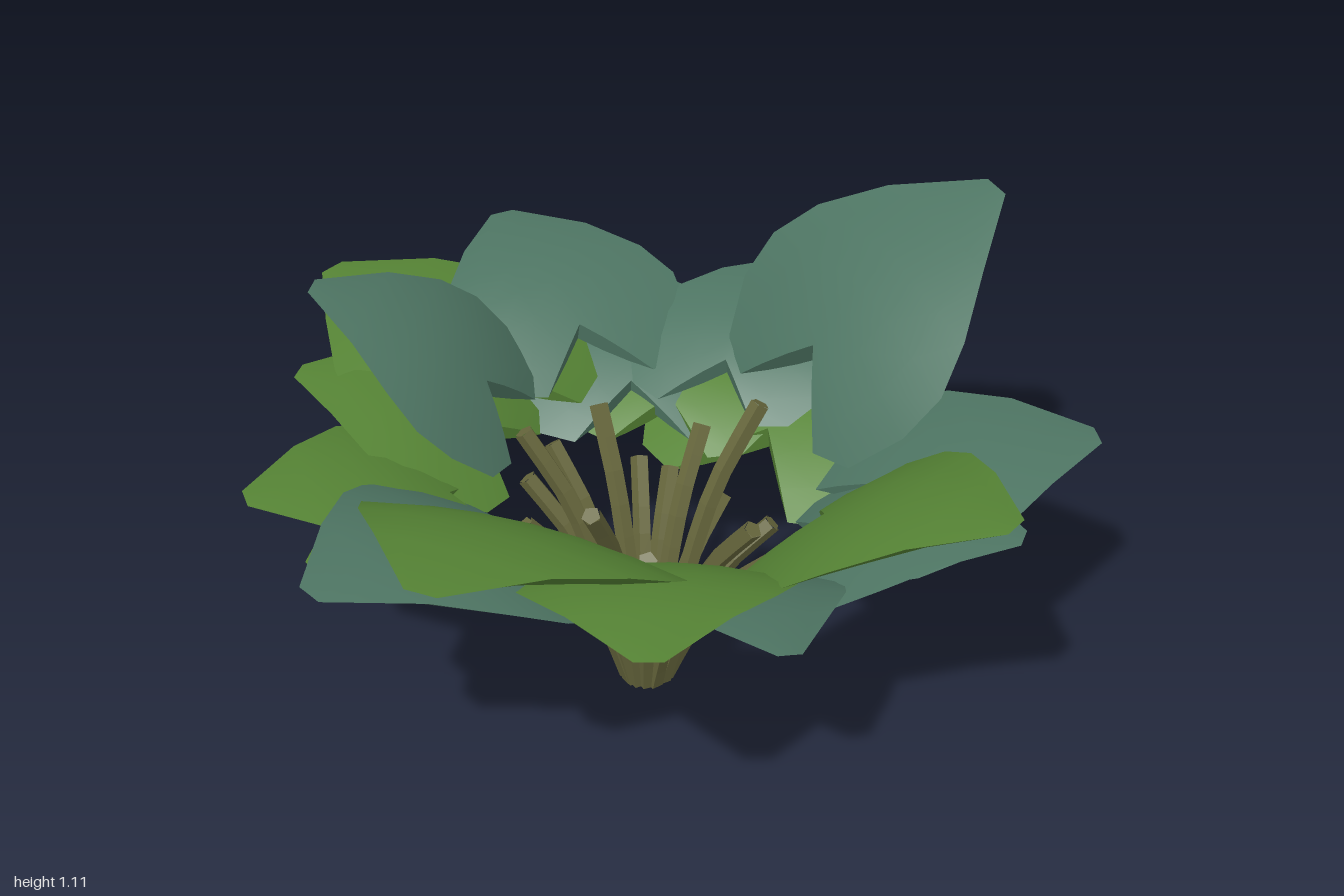
import * as THREE from 'three';

const mat = (name, color) => {
  const m = new THREE.MeshStandardMaterial({ color });
  m.name = name;
  return m;
};

// Fleshy heart-shaped blade: tip at the origin, notch towards -z,
// arched top, rounded belly and a wall closing the notch
const LENGTH = 0.46, HALF = 3;
function bladeGeometry() {
  // each row: midrib position, edge position, edge half width, belly fullness
  const rows = [
    [0, -0.14, 0.14, 0.55], [0.03, -0.11, 0.23, 0.8], [0.08, 0, 0.295, 1], [0.14, 0.1, 0.305, 1],
    [0.22, 0.2, 0.26, 0.9], [0.33, 0.32, 0.165, 0.6], [LENGTH, LENGTH, 0.03, 0],
  ];
  const pos = [], index = [];
  const sheet = (grid, flip) => {
    const start = pos.length / 3, cols = grid[0].length;
    grid.flat().forEach((p) => pos.push(...p));
    for (let i = 0; i < grid.length - 1; i++) {
      for (let j = 0; j < cols - 1; j++) {
        const a = start + i * cols + j, b = a + cols;
        if (flip) index.push(a, a + 1, b, b, a + 1, b + 1);
        else index.push(a, b, a + 1, b, b + 1, a + 1);
      }
    }
  };
  const layer = (depth) => rows.map(([mid, edge, width, belly]) =>
    Array.from({ length: HALF * 2 + 1 }, (_, n) => {
      const s = n / HALF - 1, k = Math.abs(s);
      const x = width * s, z = mid + (edge - mid) * k;
      const arch = 0.06 * (1 - ((z - 0.2) / 0.27) ** 2);
      return [x, arch - 0.35 * x * x - depth * belly * (1 - k * k), z - LENGTH];
    }));
  const top = layer(0), bottom = layer(0.085);
  sheet(top, false);
  sheet(bottom, true);
  // notch walls, one on each side of the midrib
  [[0, HALF + 1], [HALF, HALF * 2 + 1]].forEach(([from, to]) =>
    sheet([bottom[0].slice(from, to), top[0].slice(from, to)], false));
  const g = new THREE.BufferGeometry();
  g.setAttribute('position', new THREE.Float32BufferAttribute(pos, 3));
  g.setIndex(index);
  g.computeVertexNormals();
  return g;
}

// tip x, y, z, heading (degrees from the front), pitch, scale, roll, is green
const LEAVES = [
  // upper whorl
  [0.79, 1.09, 0.42, 62, 37, 1.2, 6, 0],
  [0.01, 0.81, 0.96, 0, 23, 1.06, 0, 1],
  [-1.0, 0.92, 0.27, -75, 22, 1.15, 0, 1],
  [-0.34, 0.95, -0.67, -151, 31, 0.97, 0, 0],
  [0.43, 0.78, -0.78, 155, 14, 1.0, 0, 0],
  // middle whorl
  [-0.97, 0.74, -0.07, -100, 14, 1.1, 0, 0],
  [-0.72, 0.74, 0.59, -52, 15, 1.0, 0, 1],
  [0.01, 0.74, -0.97, 180, 14, 1.15, 0, 1],
  [0.8, 0.71, -0.12, 100, 13, 0.9, 0, 0],
  [-0.76, 0.68, -0.48, -122, 14, 1.0, 0, 1],
  [-0.33, 0.69, -0.75, -155, 14, 0.95, 0, 1],
  // lower whorl
  [0.68, 0.62, 0.8, 45, 14, 1.08, 0, 0],
  [-0.4, 0.61, 0.7, -30, 14, 0.92, -10, 0],
  [1.0, 0.53, 0.06, 90, 9, 1.25, 0, 1],
  [0.67, 0.6, -0.57, 130, 12, 1.0, 0, 0],
  [0.74, 0.55, -0.34, 112, 10, 0.9, 0, 1],
  [-0.84, 0.67, -0.2, -107, 13, 0.9, 0, 1],
  [0.29, 0.57, 0.84, 18, 14, 0.97, 0, 0],
];

export function createModel() {
  const plant = new THREE.Group();
  plant.name = 'leafyPlant';
  const green = mat('leafGreen', 0x568435);
  const teal = mat('leafTeal', 0x4e7563);
  const olive = mat('stemOlive', 0x66663c);
  const blade = bladeGeometry();
  const cx = -0.02, cz = 0.04, rad = THREE.MathUtils.degToRad;

  LEAVES.forEach(([x, y, z, heading, pitch, scale, roll, isGreen]) => {
    const leaf = new THREE.Mesh(blade, isGreen ? green : teal);
    leaf.name = 'leaf';
    leaf.position.set(x, y, z);
    leaf.rotation.set(-rad(pitch), rad(heading), rad(roll), 'YXZ');
    leaf.scale.setScalar(scale);
    plant.add(leaf);

    // stem arching out from the crown towards its leaf
    const az = Math.atan2(x - cx, z - cz);
    const top = y - LENGTH * scale * Math.sin(rad(pitch)) - 0.08;
    const at = (r, h) => new THREE.Vector3(cx + r * Math.sin(az), h, cz + r * Math.cos(az));
    const curve = new THREE.CatmullRomCurve3([
      at(0.045, 0), at(0.1, top * 0.35), at(0.18, top * 0.72), at(0.29, top),
    ]);
    const stem = new THREE.Group();
    stem.name = 'stem';
    // separate faces keep the stem angular
    const tubeGeometry = new THREE.TubeGeometry(curve, 8, 0.023, 5).toNonIndexed();
    tubeGeometry.computeVertexNormals();
    const tube = new THREE.Mesh(tubeGeometry, olive);
    tube.name = 'stemTube';
    stem.add(tube);
    // flat ends
    [[0, -1], [1, 1]].forEach(([t, dir]) => {
      const cap = new THREE.Mesh(new THREE.CircleGeometry(0.022, 5), olive);
      cap.name = 'stemEnd';
      cap.position.copy(curve.getPointAt(t));
      cap.lookAt(cap.position.clone().addScaledVector(curve.getTangentAt(t), dir));
      stem.add(cap);
    });
    plant.add(stem);
  });
  return plant;
}
